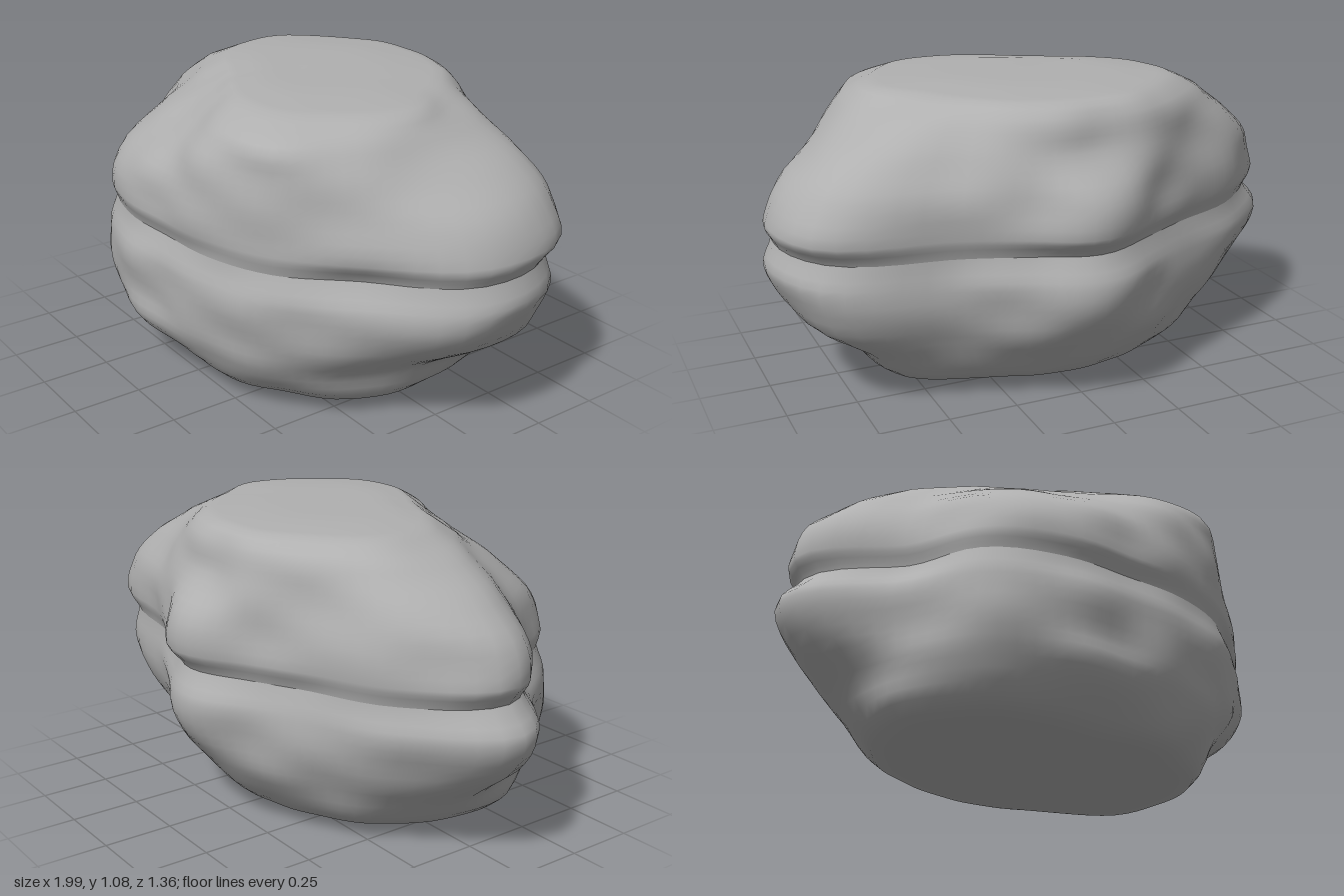
import * as THREE from 'three';

const SIDES = 80; // points round each cross-section
const STEPS = 4;  // subdivisions between cross-sections

// Radii every 22.5 degrees, from +x round through +z (front), -x and -z
const seam = [.96, .76, .70, .64, .61, .665, .73, .71, .91, .78, .62, .59, .64, .61, .68, .94];

const lowerRings = [
  [.05, [.62, .60, .55, .52, .48, .52, .62, .66, .62, .55, .47, .43, .42, .43, .48, .60]],
  [.19, [.71, .69, .66, .63, .62, .67, .72, .73, .76, .67, .58, .55, .55, .55, .60, .76]],
  [.31, [.90, .77, .71, .655, .635, .69, .755, .76, .90, .76, .63, .60, .64, .62, .67, .90]],
  [.46, [.985, .81, .73, .67, .65, .70, .765, .77, 1.0, .81, .65, .62, .685, .645, .70, .97]],
  [.57, seam],
];

const upperRings = [
  [.57, seam],
  [.64, [.985, .80, .72, .66, .64, .69, .74, .73, .95, .81, .65, .62, .69, .645, .71, .99]],
  [.78, [.90, .78, .71, .66, .625, .65, .69, .69, .91, .79, .64, .61, .66, .63, .70, .95]],
  [.90, [.77, .73, .70, .64, .54, .52, .55, .60, .77, .73, .61, .59, .56, .58, .64, .81]],
  [1.0, [.66, .66, .68, .56, .42, .38, .40, .48, .61, .64, .58, .57, .53, .55, .56, .64]],
  [1.06, [.58, .55, .52, .42, .33, .28, .30, .36, .46, .52, .50, .50, .48, .48, .48, .50]],
];

const scaled = (y, [, radii], s) => [y, radii.map((r) => r * s)];

function spline(a, b, c, d, t) {
  return b + 0.5 * t * (c - a + t * (2 * a - 5 * b + 4 * c - d + t * (3 * (b - c) + d - a)));
}

// Radius at a fraction of the turn, smoothed between the given values
function radiusAt(radii, turn) {
  const n = radii.length, f = turn * n, i = Math.floor(f);
  const at = (k) => radii[(i + k + n) % n];
  return spline(at(-1), at(0), at(1), at(2), f - i);
}

// Gentle lumps, fading out at the seam
function lumps(angle, y) {
  const wave = Math.sin(5 * angle + 9 * y) * Math.sin(11 * y + 2 * angle)
    + 0.7 * Math.sin(11 * angle - 14 * y) * Math.cos(17 * y + 3 * angle);
  return 0.012 * wave * Math.min(1, Math.abs(y - 0.57) * 8);
}

// Lofts a skin upward through the cross-sections
function loft(rings) {
  const positions = [], index = [];
  const rows = (rings.length - 1) * STEPS;
  const ring = (k) => rings[Math.min(Math.max(k, 0), rings.length - 1)];
  for (let row = 0; row <= rows; row++) {
    const k = Math.min(Math.floor(row / STEPS), rings.length - 2);
    const t = row / STEPS - k;
    const y = THREE.MathUtils.lerp(ring(k)[0], ring(k + 1)[0], t);
    for (let s = 0; s < SIDES; s++) {
      const turn = s / SIDES, angle = turn * Math.PI * 2;
      const r = [-1, 0, 1, 2].map((o) => radiusAt(ring(k + o)[1], turn));
      const base = Math.max(0, spline(...r, t));
      const radius = base * (1 + lumps(angle, y));
      positions.push(Math.cos(angle) * radius, y, Math.sin(angle) * radius);
      if (row < rows) {
        const a = row * SIDES + s, b = row * SIDES + (s + 1) % SIDES;
        index.push(a, a + SIDES, b, b, a + SIDES, b + SIDES);
      }
    }
  }
  const geometry = new THREE.BufferGeometry();
  geometry.setAttribute('position', new THREE.Float32BufferAttribute(positions, 3));
  geometry.setIndex(index);
  geometry.computeVertexNormals();
  return geometry;
}

export function createModel() {
  const group = new THREE.Group();
  group.name = 'rock';
  const stone = new THREE.MeshStandardMaterial({ color: 0xb0b0b0 });
  stone.name = 'stone grey';

  const add = (name, rings) => {
    const mesh = new THREE.Mesh(loft(rings), stone);
    mesh.name = name;
    group.add(mesh);
  };

  // Lower layer with its shallow rounded underside
  const base = lowerRings[0];
  add('lowerLayer', [scaled(0, base, 0), scaled(.015, base, .5), ...lowerRings]);

  // Upper layer with its nearly flat top
  const top = upperRings[upperRings.length - 1];
  add('upperLayer', [...upperRings, scaled(1.075, top, .6), scaled(1.078, top, 0)]);

  return group;
}
